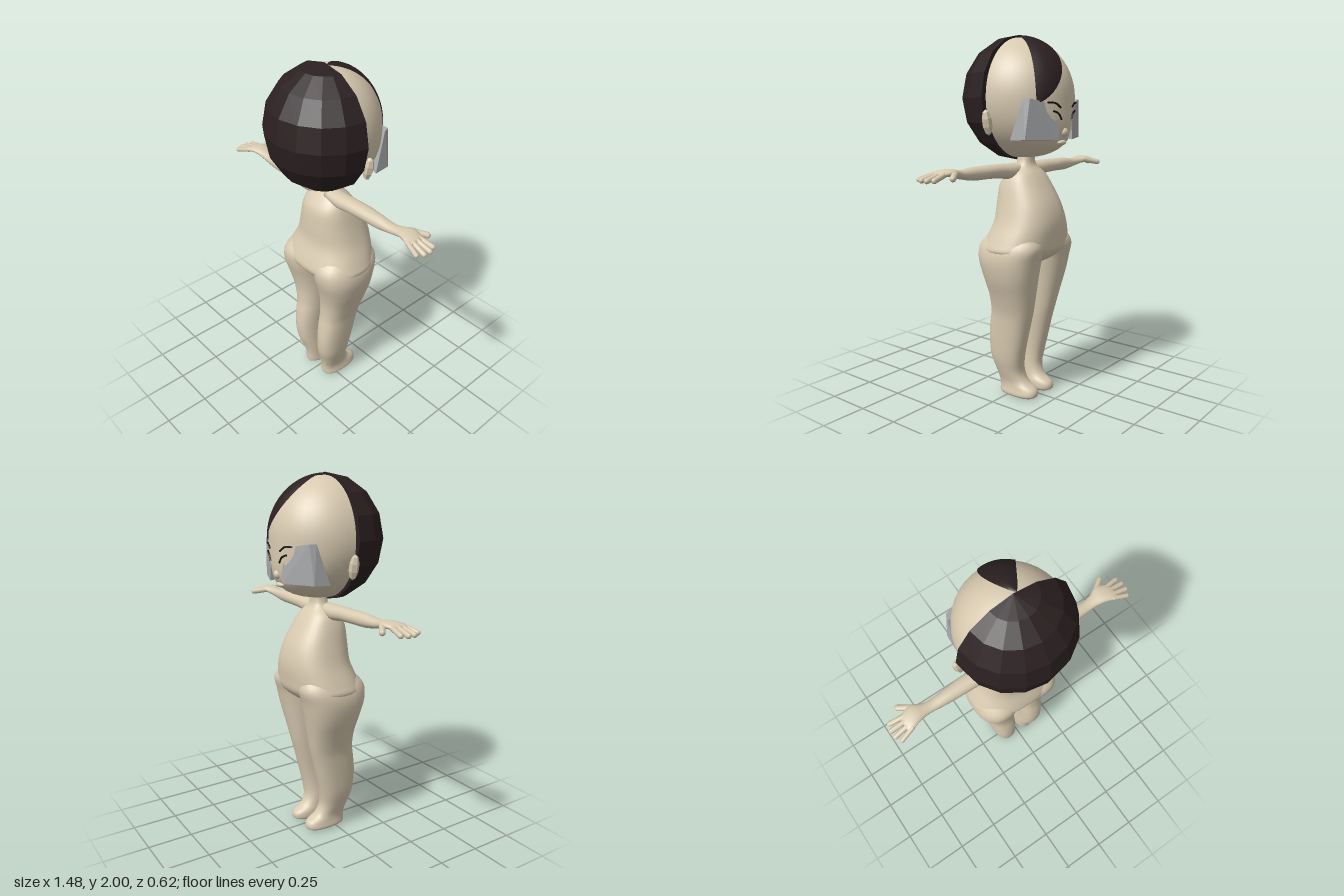
import * as THREE from 'three';
import { mergeGeometries } from 'three/addons/utils/BufferGeometryUtils.js';
import { ConvexGeometry } from 'three/addons/geometries/ConvexGeometry.js';

const HEAD_Y = 1.665, RX = 0.285, RY = 0.32, RZ = 0.303;

// Smooth loft through rows [u, aMin, aMax, bMin, bMax]; axis 'y': a=x b=z, axis 'x': a=z b=y
function loft(rows, axis, sides = 28, steps = 4, power = 2.4) {
  const curves = [0, 1, 2, 3, 4].map(k =>
    new THREE.SplineCurve(rows.map((r, i) => new THREE.Vector2(i, r[k]))));
  const n = (rows.length - 1) * steps, pos = [], idx = [];
  const put = (u, a, b) => axis === 'y' ? pos.push(a, u, b) : pos.push(u, b, a);
  const bend = v => Math.sign(v) * Math.abs(v) ** (2 / power);
  const ends = [];
  for (let i = 0; i <= n; i++) {
    const [u, a0, a1, b0, b1] = curves.map(c => c.getPoint(i / n).y);
    if (i === 0 || i === n) ends.push([u, (a0 + a1) / 2, (b0 + b1) / 2]);
    for (let j = 0; j < sides; j++) {
      const t = j / sides * Math.PI * 2;
      put(u, (a0 + a1) / 2 + (a1 - a0) / 2 * bend(Math.cos(t)),
        (b0 + b1) / 2 + (b1 - b0) / 2 * bend(Math.sin(t)));
    }
  }
  ends.forEach(e => put(...e));
  const last = n * sides, c0 = last + sides;
  for (let j = 0; j < sides; j++) {
    const k = (j + 1) % sides;
    for (let i = 0; i < n; i++) {
      const p = i * sides;
      idx.push(p + j, p + sides + j, p + k, p + k, p + sides + j, p + sides + k);
    }
    idx.push(c0, j, k, c0 + 1, last + k, last + j);
  }
  const g = new THREE.BufferGeometry();
  g.setAttribute('position', new THREE.Float32BufferAttribute(pos, 3));
  g.setIndex(idx);
  g.computeVertexNormals();
  return g;
}

// Mirrored copy across x with corrected winding
function mirror(geo) {
  const g = geo.index ? geo.toNonIndexed() : geo.clone();
  g.scale(-1, 1, 1);
  for (const name of Object.keys(g.attributes)) {
    const { array, itemSize: s } = g.attributes[name];
    for (let i = 0; i < array.length; i += 3 * s)
      for (let k = 0; k < s; k++)
        [array[i + s + k], array[i + 2 * s + k]] = [array[i + 2 * s + k], array[i + s + k]];
  }
  return g;
}

// Rounded finger between two points
function finger(p, q, r) {
  const a = new THREE.Vector3(...p), b = new THREE.Vector3(...q), d = b.clone().sub(a);
  const g = new THREE.CapsuleGeometry(r, d.length(), 4, 10);
  g.applyQuaternion(new THREE.Quaternion().setFromUnitVectors(
    new THREE.Vector3(0, 1, 0), d.normalize()));
  const m = a.add(b).multiplyScalar(0.5);
  return g.translate(m.x, m.y, m.z);
}

const jaw = dy => dy < 0 ? 1 + 0.6 * dy * dy : 1;
function faceZ(x, y) {
  const dy = (y - HEAD_Y) / RY;
  return -RZ * Math.sqrt(Math.max(0, 1 - (x / RX) ** 2 - dy * dy)) * jaw(dy);
}

export function createModel() {
  const model = new THREE.Group();
  const mat = (name, color, extra = {}) =>
    Object.assign(new THREE.MeshStandardMaterial({ color, ...extra }), { name });
  const skin = mat('skin', 0xd8cab0);
  const hair = mat('dark hair', 0x2b2021, { flatShading: true });
  const lockHair = hair.clone();
  lockHair.side = THREE.DoubleSide;
  lockHair.flatShading = false;
  const grey = mat('grey panel', 0xa9abad, { flatShading: true });
  const black = mat('lash black', 0x140e0e);
  const earSkin = skin.clone();
  earSkin.flatShading = true;

  const add = (name, geo, material) => {
    const m = new THREE.Mesh(geo, material);
    m.name = name;
    model.add(m);
    return m;
  };
  const pair = (name, geo, material) => {
    add('left' + name, geo, material);
    add('right' + name, mirror(geo), material);
  };

  // Torso and neck
  const torso = [
    [0.78, 0.12, -0.15, 0.08], [0.81, 0.2, -0.2, 0.13], [0.85, 0.26, -0.235, 0.155],
    [0.9, 0.248, -0.245, 0.145], [1.0, 0.205, -0.25, 0.107], [1.1, 0.175, -0.225, 0.1],
    [1.2, 0.148, -0.17, 0.088], [1.26, 0.12, -0.13, 0.05], [1.31, 0.06, -0.09, 0.005],
    [1.37, 0.045, -0.085, 0.005]];
  add('torso', loft(torso.map(([y, w, b, f]) => [y, -w, w, b, f]), 'y', 36), skin);

  // Legs with feet
  pair('Leg', loft([
    [0, 0.03, 0.12, -0.15, 0.06], [0.015, 0.015, 0.135, -0.172, 0.07],
    [0.05, 0.015, 0.13, -0.165, 0.072], [0.085, 0.018, 0.13, -0.11, 0.075],
    [0.14, 0.02, 0.145, -0.083, 0.088], [0.22, 0.025, 0.165, -0.09, 0.113],
    [0.32, 0.026, 0.175, -0.112, 0.122], [0.42, 0.022, 0.182, -0.135, 0.113],
    [0.5, 0.02, 0.19, -0.155, 0.1], [0.6, 0.015, 0.217, -0.175, 0.1],
    [0.7, 0.008, 0.25, -0.195, 0.12], [0.8, 0, 0.266, -0.215, 0.148],
    [0.88, 0, 0.25, -0.235, 0.145], [0.95, 0.02, 0.2, -0.2, 0.08]], 'y'), skin);

  // Arms and palms
  pair('Arm', loft([
    [0.03, -0.06, 0.03, 1.26, 1.32], [0.12, -0.065, 0.035, 1.237, 1.32],
    [0.2, -0.06, 0.033, 1.245, 1.322], [0.3, -0.06, 0.03, 1.25, 1.322],
    [0.4, -0.05, 0.026, 1.25, 1.32], [0.48, -0.045, 0.02, 1.262, 1.312],
    [0.53, -0.05, 0.02, 1.272, 1.316], [0.58, -0.072, 0.03, 1.285, 1.324],
    [0.63, -0.06, 0.045, 1.285, 1.318], [0.66, -0.045, 0.045, 1.28, 1.306]], 'x', 20, 3, 2.1), skin);

  // Fingers and thumb
  pair('Fingers', mergeGeometries([
    finger([0.63, 1.3, -0.04], [0.715, 1.278, -0.054], 0.014),
    finger([0.64, 1.3, -0.015], [0.728, 1.276, -0.018], 0.014),
    finger([0.64, 1.3, 0.012], [0.726, 1.276, 0.02], 0.014),
    finger([0.63, 1.3, 0.034], [0.708, 1.278, 0.055], 0.013),
    finger([0.57, 1.302, -0.05], [0.64, 1.285, -0.102], 0.016)]), skin);

  // Head with a fuller jaw towards the face
  const head = new THREE.SphereGeometry(1, 40, 28);
  const p = head.attributes.position;
  for (let i = 0; i < p.count; i++) {
    const x = p.getX(i), y = p.getY(i), z = p.getZ(i);
    p.setXYZ(i, x * RX, HEAD_Y + y * RY, z * RZ * (z < 0 ? jaw(y) : 0.9));
  }
  head.computeVertexNormals();
  add('head', head, skin);
  add('nose', new THREE.SphereGeometry(0.026, 14, 10).translate(0, 1.49, -0.287), skin);
  add('lips', new THREE.SphereGeometry(1, 14, 10).scale(0.035, 0.014, 0.02)
    .translate(0, 1.435, faceZ(0, 1.435)), skin);

  // Faceted ears
  pair('Ear', new THREE.SphereGeometry(1, 6, 5).scale(0.028, 0.068, 0.026)
    .rotateZ(-0.2).translate(0.3, 1.54, -0.022), earSkin);

  // Faceted half-dome of hair closed by a flat rim
  add('backHair', new THREE.SphereGeometry(1, 8, 8, 0, Math.PI)
    .scale(0.318, 0.335, 0.31).translate(0, HEAD_Y, 0), hair);
  add('hairRim', new THREE.CircleGeometry(1, 16).rotateY(Math.PI)
    .scale(0.318, 0.335, 1).translate(0, HEAD_Y, 0), hair);

  // Lock of hair sweeping over the crown to the brow
  const lock = new THREE.PlaneGeometry(1, 1, 8, 24), lp = lock.attributes.position;
  for (let i = 0; i < lp.count; i++) {
    const t = lp.getY(i) + 0.5, s = lp.getX(i) * 2;
    const x = 0.02 + 0.15 * t * t + s * 0.092 * Math.sin(Math.PI * t) ** 0.8;
    const e = t * 1.68, k = Math.sqrt(1 - (x / RX) ** 2) * (1.035 - 0.015 * s * s);
    lp.setXYZ(i, x, HEAD_Y + RY * k * Math.cos(e), -RZ * k * Math.sin(e));
  }
  lock.computeVertexNormals();
  add('hairLock', lock, lockHair);

  // Angular grey eye panels
  pair('EyePanel', new ConvexGeometry([
    [0.06, 1.63, -0.292], [0.06, 1.45, -0.302], [0.22, 1.66, -0.235],
    [0.245, 1.455, -0.222], [0.232, 1.66, -0.2], [0.25, 1.45, -0.13],
    [0.06, 1.6, -0.2], [0.06, 1.46, -0.2]].map(v => new THREE.Vector3(...v))), grey);

  // Lashes
  const stroke = pts => new THREE.TubeGeometry(new THREE.CatmullRomCurve3(
    pts.map(([x, y]) => new THREE.Vector3(x, y, faceZ(x, y) - 0.006))), 12, 0.005, 6);
  pair('Lashes', mergeGeometries([
    stroke([[0.045, 1.555], [0.065, 1.585], [0.1, 1.6]]),
    stroke([[0.05, 1.615], [0.085, 1.638], [0.13, 1.64]])]), black);

  return model;
}
